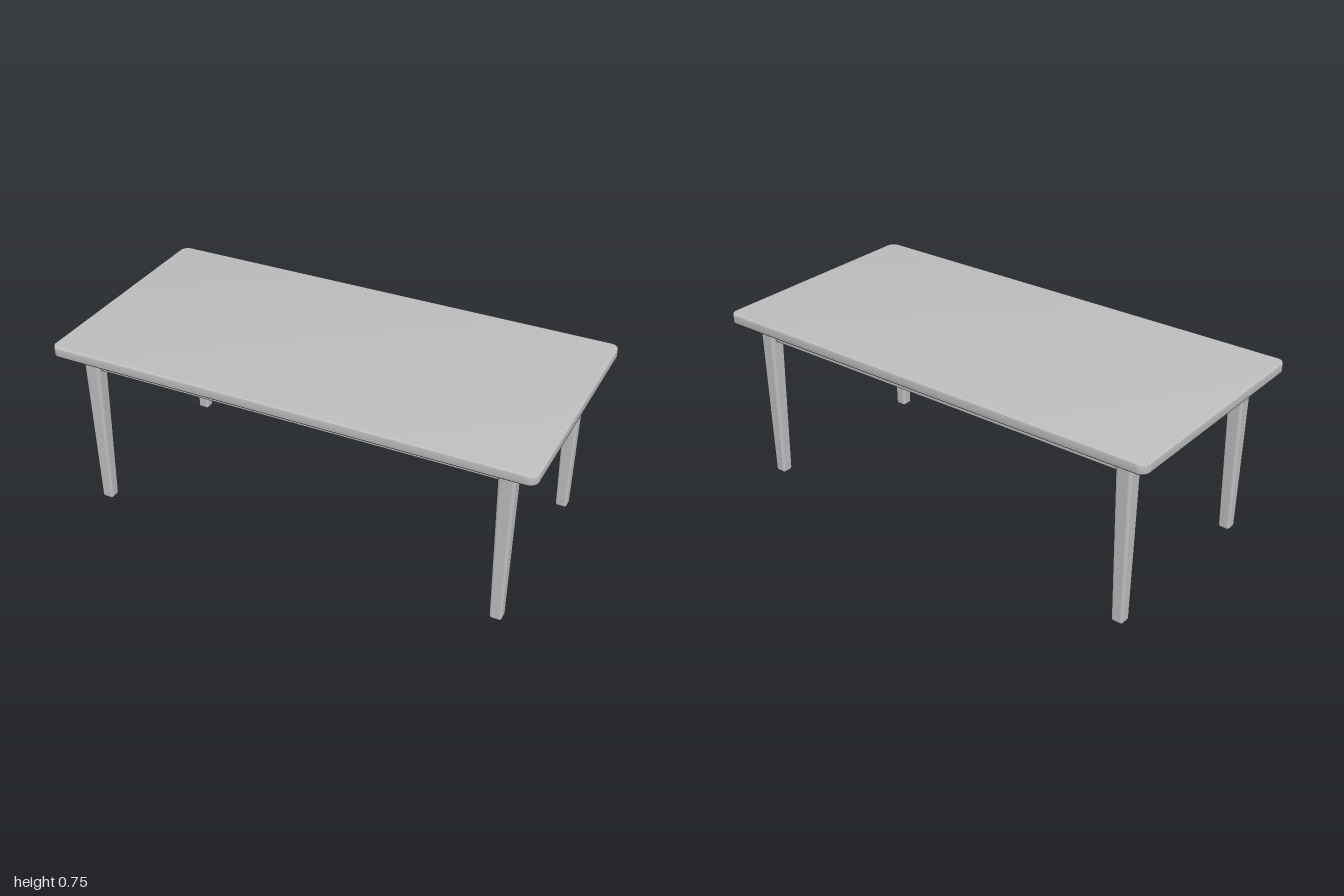
import * as THREE from 'three';
import { toCreasedNormals } from 'three/addons/utils/BufferGeometryUtils.js';
import { RoundedBoxGeometry } from 'three/addons/geometries/RoundedBoxGeometry.js';

const TOP = 0.75, UNDER = 0.706;       // table top heights
const LEG_X = 0.87, LEG_Z = 0.392;     // leg centres

// Rectangle with rounded corners, centred on the origin
function roundedRect(w, d, r) {
  const s = new THREE.Shape();
  const x = w / 2, y = d / 2;
  s.absarc(x - r, y - r, r, 0, Math.PI / 2);
  s.absarc(-x + r, y - r, r, Math.PI / 2, Math.PI);
  s.absarc(-x + r, -y + r, r, Math.PI, Math.PI * 1.5);
  s.absarc(x - r, -y + r, r, Math.PI * 1.5, Math.PI * 2);
  s.closePath();
  return s;
}

// Slab with rounded corners and softened rims
function tableTopGeometry() {
  const b = 0.007;
  const g = new THREE.ExtrudeGeometry(roundedRect(2 - 2 * b, 1 - 2 * b, 0.03), {
    depth: TOP - UNDER - 2 * b, bevelEnabled: true, bevelSize: b,
    bevelThickness: b, bevelSegments: 3, curveSegments: 8,
  });
  g.rotateX(-Math.PI / 2);
  g.translate(0, UNDER + b, 0);
  return toCreasedNormals(g, 0.6);
}

// Rounded post tapering from 0.07 at the top to 0.05 at the foot
function legGeometry() {
  const g = new RoundedBoxGeometry(0.07, UNDER, 0.07, 4, 0.014);
  g.translate(0, UNDER / 2, 0);
  const p = g.attributes.position;
  for (let i = 0; i < p.count; i++) {
    const k = THREE.MathUtils.lerp(0.05 / 0.07, 1, p.getY(i) / UNDER);
    p.setX(i, p.getX(i) * k);
    p.setZ(i, p.getZ(i) * k);
  }
  return g;
}

export function createModel() {
  const grey = new THREE.MeshStandardMaterial({ color: 0xbfbfbf });
  grey.name = 'light grey';
  const table = new THREE.Group();
  table.name = 'table';

  const add = (name, geometry, x = 0, y = 0, z = 0) => {
    const mesh = new THREE.Mesh(geometry, grey);
    mesh.name = name;
    mesh.position.set(x, y, z);
    table.add(mesh);
  };

  add('tableTop', tableTopGeometry());

  // Four legs
  const leg = legGeometry();
  for (const [sx, side] of [[1, 'Left'], [-1, 'Right']])
    for (const [sz, end] of [[1, 'front'], [-1, 'back']])
      add(`${end}${side}Leg`, leg, sx * LEG_X, 0, sz * LEG_Z);

  // Aprons joining the legs under the top
  const h = 0.075, t = 0.025, y = UNDER - h / 2;
  const longApron = new THREE.BoxGeometry(2 * LEG_X, h, t);
  const shortApron = new THREE.BoxGeometry(t, h, 2 * LEG_Z);
  add('frontApron', longApron, 0, y, LEG_Z);
  add('backApron', longApron, 0, y, -LEG_Z);
  add('leftApron', shortApron, LEG_X, y, 0);
  add('rightApron', shortApron, -LEG_X, y, 0);

  return table;
}
